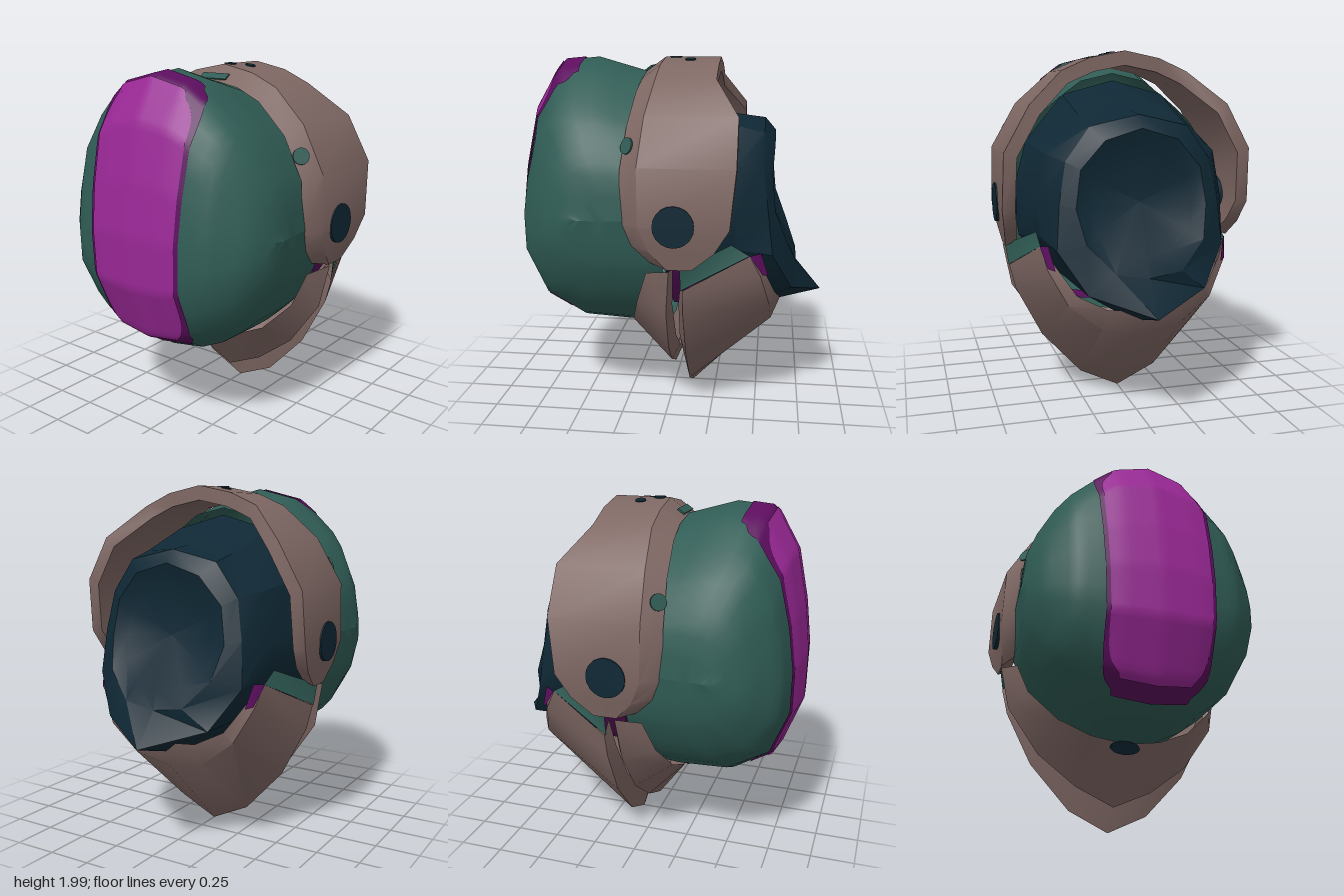
import * as THREE from 'three';
import { toCreasedNormals } from 'three/addons/utils/BufferGeometryUtils.js';

const material = (name, color) => {
  const m = new THREE.MeshStandardMaterial({ color, side: THREE.DoubleSide });
  m.name = name;
  return m;
};

// Table lookup with straight segments
const lerpTable = (xs, ys, x) => {
  let i = 0;
  while (i < xs.length - 2 && x > xs[i + 1]) i++;
  return ys[i] + (ys[i + 1] - ys[i]) * (x - xs[i]) / (xs[i + 1] - xs[i]);
};

const negate = ([x, y, z]) => [-x, y, z];
// Half row (centre first) to a full row from -x to +x
const mirrorRow = half => [...half.slice(1).reverse().map(negate), ...half];
// Half loop (top centre to bottom centre) to a closed loop
const closeLoop = half => [...half, ...half.slice(1, -1).reverse().map(negate), half[0]];

// Skin a list of cross-sections
function loft(rows, flip = false, crease = 0.6) {
  const n = rows[0].length, index = [];
  for (let i = 0; i < rows.length - 1; i++) {
    for (let j = 0; j < n - 1; j++) {
      const a = i * n + j, b = a + 1, c = a + n, d = c + 1;
      if (flip) index.push(a, c, b, b, c, d);
      else index.push(a, b, c, b, d, c);
    }
  }
  const g = new THREE.BufferGeometry();
  g.setAttribute('position', new THREE.Float32BufferAttribute(rows.flat(2), 3));
  g.setIndex(index);
  return toCreasedNormals(g, crease);
}

// Dome surface: side profile (z, y) reshaped for each x
const PROFILE = [[0, 1.88], [0.17, 1.92], [0.45, 2], [0.65, 1.98], [0.78, 1.75], [0.84, 1.45],
  [0.87, 1.18], [0.865, 0.9], [0.75, 0.6], [0.53, 0.46], [0.23, 0.44], [0, 0.46]];
const STEPS = PROFILE.map((_, i) => i);
const DX = [0, 0.2, 0.33, 0.44, 0.52, 0.6, 0.645, 0.67];
const TOP = [2, 1.95, 1.85, 1.75, 1.66, 1.52, 1.41, 1.17];
const BOTTOM = [0.44, 0.47, 0.53, 0.61, 0.69, 0.83, 0.94, 1.17];
const DEPTH = [1, 0.98, 0.95, 0.92, 0.84, 0.75, 0.64, 0.52];

function domePoint(x, v, grow = 1) {
  const ax = Math.abs(x);
  const top = lerpTable(DX, TOP, ax), bottom = lerpTable(DX, BOTTOM, ax);
  const z = lerpTable(STEPS, PROFILE.map(p => p[0]), v) * lerpTable(DX, DEPTH, ax);
  const y = bottom + (lerpTable(STEPS, PROFILE.map(p => p[1]), v) - 0.44) / 1.56 * (top - bottom);
  const taper = 1 - 0.12 * Math.max(0, 0.45 - z);
  return [x * taper * grow, 1.2 + (y - 1.2) * grow, 0.3 + (z - 0.3) * grow];
}

function domeGeometry() {
  const xs = DX.flatMap((x, i) => i ? [(x + DX[i - 1]) / 2, x] : [x]);
  const columns = [...xs.slice(1).reverse().map(x => -x), ...xs];
  const rows = [];
  for (let v = 0; v <= 11; v += 0.5) rows.push(columns.map(x => domePoint(x, v)));
  return loft(rows, true, 1);
}

// Rounded strip that follows the dome
function stripeGeometry(v0, v1, wTop, wBottom, grow) {
  const rows = [], N = 44, M = 16;
  for (let i = 0; i <= N; i++) {
    const t = i / N;
    const corner = Math.max(0.72, Math.pow(1 - Math.pow(Math.abs(2 * t - 1), 12), 1 / 3));
    const w = (wTop + (wBottom - wTop) * t) * corner;
    rows.push(Array.from({ length: M + 1 }, (_, j) =>
      domePoint(w * (2 * j / M - 1), v0 + (v1 - v0) * t, grow)));
  }
  return loft(rows, true, 1);
}

export function createModel() {
  const group = new THREE.Group();
  const brown = material('dusty brown', 0x7f6864);
  const green = material('deep green', 0x305c55);
  const magenta = material('magenta', 0x9a2896);
  const plum = material('dark plum', 0x5c0e5e);
  const navy = material('dark navy', 0x0f2835);

  const add = (name, geometry, mat) => {
    const mesh = new THREE.Mesh(geometry, mat);
    mesh.name = name;
    group.add(mesh);
    return mesh;
  };
  // Thin disc facing a direction
  const disc = (name, mat, radius, depth, pos, dir, squash = 1) => {
    const g = new THREE.CylinderGeometry(radius, radius, depth, 20);
    g.scale(1, 1, squash);
    const m = add(name, g, mat);
    m.position.set(...pos);
    m.quaternion.setFromUnitVectors(new THREE.Vector3(0, 1, 0), new THREE.Vector3(...dir).normalize());
    return m;
  };

  // Front dome with its two-tone stripe
  add('frontDome', domeGeometry(), green);
  add('stripeBorder', stripeGeometry(2.4, 8.6, 0.325, 0.285, 1.01), plum);
  add('stripe', stripeGeometry(3.08, 8.15, 0.295, 0.265, 1.018), magenta);

  // Arched band: x, y, lip z, front z, back z, inner scale
  const stations = [
    [0, 2, 0.17, 0.06, -0.26, 0.9], [0.2, 1.96, 0.17, 0.065, -0.26, 0.9],
    [0.36, 1.89, 0.18, 0.07, -0.26, 0.9], [0.56, 1.71, 0.2, 0.1, -0.39, 0.9],
    [0.7, 1.46, 0.22, 0.12, -0.39, 0.9], [0.71, 1.15, 0.22, 0.115, -0.36, 0.9],
    [0.69, 1.02, 0.18, 0.06, -0.28, 0.9], [0.67, 0.92, 0.09, -0.03, -0.16, 0.9],
    [0.637, 0.934, -0.03, -0.03, -0.03, 1]];
  const bandRow = (zIndex, inner) => mirrorRow(stations.map(s => {
    const k = inner ? s[5] : 1;
    return [s[0] * k, 1.2 + (s[1] - 1.2) * k, s[zIndex]];
  }));
  add('archBand', loft([bandRow(2, true), bandRow(3, false), bandRow(4, false),
    bandRow(4, true), bandRow(2, true)]), brown);

  // Markers on the band
  for (const s of [-1, 1]) {
    disc('sideMarker', navy, 0.11, 0.11, [s * 0.66, 1.16, -0.07], [s, 0, 0]);
    disc('topDot', navy, 0.03, 0.008, [s * 0.075, 1.987, -0.09], [s * 0.2, 1, 0]);
    disc('bevelMarker', green, 0.045, 0.009, [s * 0.602, 1.56, 0.185], [s * 0.7, 0.3, 0.65]);
  }
  disc('topDot', navy, 0.035, 0.008, [0, 1.999, 0], [0, 1, 0]);
  const tab = add('topTab', new THREE.BoxGeometry(0.18, 0.009, 0.045), green);
  tab.position.set(0, 1.938, 0.148);
  tab.rotation.x = 0.63;

  // Front chin collar: lip, outer edge, rear edge
  add('chinCollar', loft([
    [[0, 0.43, 0.22], [0.2, 0.46, 0.22], [0.38, 0.54, 0.2], [0.54, 0.7, 0.15], [0.6, 0.88, 0.09]],
    [[0, 0.13, 0], [0.22, 0.23, 0], [0.44, 0.4, -0.01], [0.62, 0.66, -0.02], [0.67, 0.91, -0.04]],
    [[0, 0.25, -0.05], [0.2, 0.32, -0.05], [0.41, 0.46, -0.05], [0.58, 0.7, -0.05], [0.64, 0.92, -0.06]],
  ].map(mirrorRow), true), brown);
  disc('chinMarker', navy, 0.085, 0.009, [0, 0.41, 0.212], [0, -0.58, 0.815], 0.45);

  // Rear jaw guard: inner rim, outer rim, rear corner, top edge
  add('jawGuard', loft([
    [[0, 0.2, -0.07], [0.2, 0.27, -0.07], [0.4, 0.45, -0.07], [0.55, 0.7, -0.08], [0.6, 0.88, -0.1]],
    [[0, 0.01, -0.11], [0.23, 0.12, -0.11], [0.46, 0.37, -0.11], [0.61, 0.66, -0.11], [0.645, 0.8, -0.11]],
    [[0, 0.48, -0.58], [0.22, 0.52, -0.58], [0.4, 0.66, -0.57], [0.5, 0.85, -0.52], [0.525, 0.97, -0.46]],
    [[0, 0.62, -0.63], [0.2, 0.64, -0.63], [0.36, 0.72, -0.6], [0.46, 0.87, -0.54], [0.525, 0.97, -0.46]],
  ].map(mirrorRow), true), brown);

  // Liner visible in the gap, and cheek trims
  const liner = [[0, 0.57], [0.25, 0.6], [0.45, 0.72], [0.58, 0.92]];
  add('jawLiner', loft([-0.02, -0.2].map(z => mirrorRow(liner.map(p => [...p, z]))), true), plum);
  for (const s of [-1, 1]) {
    const side = rows => loft(rows.map(r => r.map(p => [s * p[0], p[1], p[2]])), s < 0);
    add('cheekTrim', side([[[0.665, 0.92, -0.1], [0.53, 1.03, -0.36]],
      [[0.645, 0.8, -0.1], [0.525, 0.97, -0.46]]]), green);
    add('cheekAccent', side([[[0.53, 0.97, -0.46], [0.495, 0.98, -0.52]],
      [[0.5, 0.86, -0.53], [0.465, 0.85, -0.56]]]), plum);
  }

  // Rear core with a recessed oval face and pointed lower brim
  add('rearCore', loft([
    [[0, 1.84, 0], [0.3, 1.76, 0], [0.52, 1.5, 0], [0.6, 1.2, 0], [0.57, 0.95, 0], [0.4, 0.77, 0], [0, 0.62, 0]],
    [[0, 1.68, -0.36], [0.28, 1.64, -0.36], [0.48, 1.45, -0.38], [0.53, 1.2, -0.38], [0.51, 1, -0.38],
      [0.35, 0.75, -0.38], [0, 0.5, -0.38]],
    [[0, 1.66, -0.52], [0.27, 1.6, -0.52], [0.4, 1.42, -0.52], [0.44, 1.2, -0.55], [0.46, 0.96, -0.58],
      [0.32, 0.74, -0.69], [0, 0.64, -0.87]],
    [[0, 1.59, -0.58], [0.2, 1.53, -0.58], [0.33, 1.38, -0.57], [0.36, 1.18, -0.59], [0.32, 1, -0.66],
      [0.18, 0.85, -0.72], [0, 0.82, -0.72]],
    [[0, 1.5, -0.55], [0.16, 1.44, -0.55], [0.26, 1.32, -0.55], [0.28, 1.18, -0.57], [0.25, 1.05, -0.61],
      [0.14, 0.95, -0.67], [0, 0.92, -0.69]],
    Array(7).fill([0, 1.2, -0.54]),
  ].map(closeLoop), false, 0.5), navy);

  return group;
}
